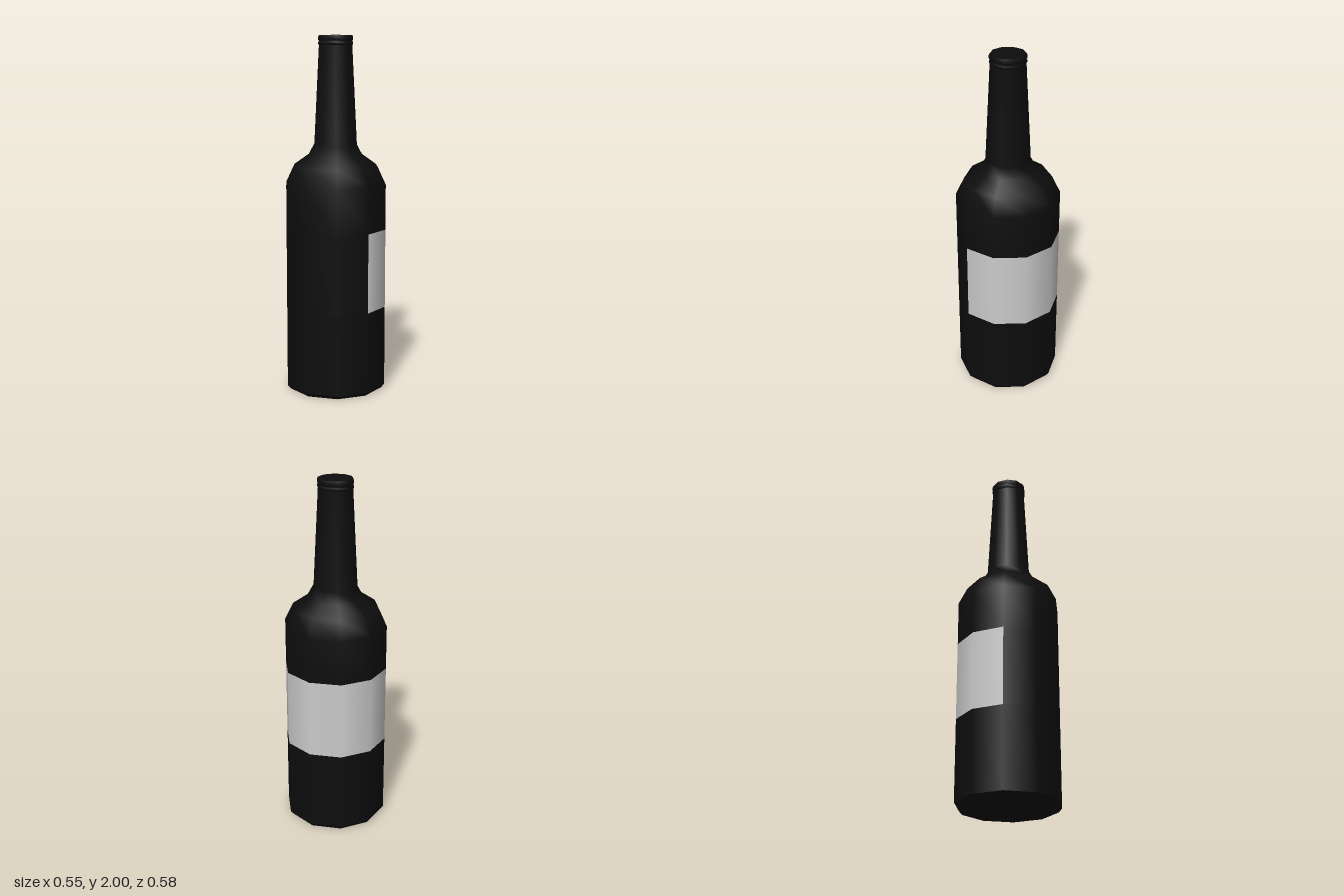
import * as THREE from 'three';

const SIDES = 10;
const R = 0.291;
const STEP = (Math.PI * 2) / SIDES;

export function createModel() {
  const group = new THREE.Group();
  const glass = new THREE.MeshStandardMaterial({ color: 0x0d0d0d });
  const paper = new THREE.MeshStandardMaterial({ color: 0xcccccc });

  // Turned band of the bottle covering a number of its ten sides
  function turned(name, profile, material = glass, first = 0, count = SIDES) {
    const points = profile.map(([r, y]) => new THREE.Vector2(r, y));
    const geometry = new THREE.LatheGeometry(points, count, first * STEP, count * STEP);
    const mesh = new THREE.Mesh(geometry, material);
    mesh.name = name;
    group.add(mesh);
  }

  // Flat underside and lower body with a small bevel
  turned('base', [[0, 0], [0.272, 0]]);
  turned('baseBevel', [[0.272, 0], [R, 0.022]]);
  turned('lowerBody', [[R, 0.022], [R, 0.48]]);

  // Middle band: label on six sides, bare glass on the other four
  turned('label', [[R, 0.48], [R, 0.925]], paper, 0, 6);
  turned('middleBody', [[R, 0.48], [R, 0.925]], glass, 6, 4);

  // Upper body, rounded shoulder and tapering neck
  turned('shoulderAndNeck', [
    [R, 0.925], [R, 1.18], [0.243, 1.28], [0.157, 1.34], [0.124, 1.4], [0.096, 1.945],
  ]);

  // Lip with two thin rings, closed on top
  turned('lip', [
    [0.096, 1.945], [0.1, 1.952], [0.1, 1.962], [0.095, 1.968],
    [0.1, 1.974], [0.1, 1.99], [0.096, 2],
  ]);
  turned('top', [[0.096, 2], [0, 2]]);

  return group;
}
